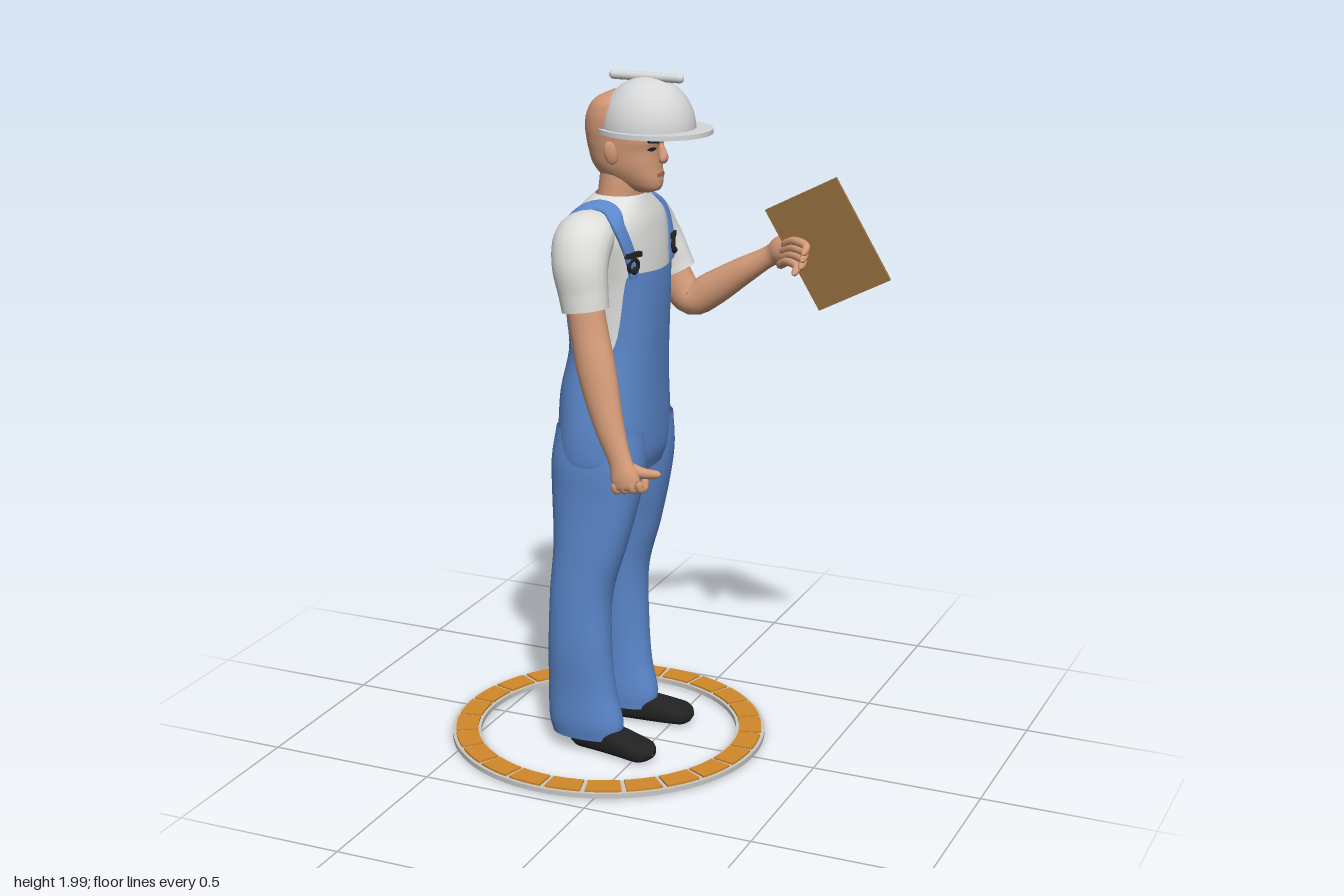
import * as THREE from 'three';
import { ParametricGeometry } from 'three/addons/geometries/ParametricGeometry.js';

const mat = (name, color, side = THREE.FrontSide) => {
  const m = new THREE.MeshStandardMaterial({ color, side });
  m.name = name;
  return m;
};
const V = (x, y, z) => new THREE.Vector3(x, y, z);

// Smooth interpolation of table rows; the first column is the ascending key.
function sample(rows, k) {
  let i = 0;
  while (i < rows.length - 2 && k > rows[i + 1][0]) i++;
  const slope = (j, c) => {
    const a = rows[Math.max(j - 1, 0)], b = rows[Math.min(j + 1, rows.length - 1)];
    return (b[c] - a[c]) / (b[0] - a[0]);
  };
  const h = rows[i + 1][0] - rows[i][0];
  const t = THREE.MathUtils.clamp((k - rows[i][0]) / h, 0, 1), t2 = t * t, t3 = t2 * t;
  return rows[i].map((p, c) => (2 * t3 - 3 * t2 + 1) * p + (t3 - 2 * t2 + t) * h * slope(i, c)
    + (3 * t2 - 2 * t3) * rows[i + 1][c] + (t3 - t2) * h * slope(i + 1, c));
}

const pow = (v, p) => Math.sign(v) * Math.abs(v) ** p;

// Upright form from rows [y, back x, front x, half width, centre z]; angle 0 is the front.
const upright = (rows, p = 0.85) => (angle, y, off = 0) => {
  const [, xb, xf, hz, cz = 0] = sample(rows, y);
  return V((xb + xf) / 2 + ((xf - xb) / 2 + off) * pow(Math.cos(angle), p), y,
    cz - (hz + off) * pow(Math.sin(angle), p));
};

// Piece of an upright form between two angles and two heights.
const patch = (form, a0, a1, y0, y1, off = 0, nu = 40, nv = 40) => {
  const f = (y, a) => (typeof y === 'function' ? y(a) : y);
  return new ParametricGeometry((u, v, out) => {
    const a = a0 + (a1 - a0) * u;
    out.copy(form(a, f(y0, a) + (f(y1, a) - f(y0, a)) * v, off));
  }, nu, nv);
};
const whole = (form, y0, y1, off = 0) => patch(form, -Math.PI, Math.PI, y0, y1, off);

// Limb through rows [x, y, z, radius along ref, other radius], with rounded ends.
function limb(rows, ref, cap = 0.08, p = 1, nu = 20, nv = 32) {
  const keyed = rows.map((r, i) => [i, ...r]), n = rows.length - 1;
  const at = t => { const s = sample(keyed, t * n); return V(s[1], s[2], s[3]); };
  return new ParametricGeometry((u, v, out) => {
    const s = sample(keyed, v * n);
    const T = at(Math.min(v + 0.01, 1)).sub(at(Math.max(v - 0.01, 0))).normalize();
    const U = ref.clone().addScaledVector(T, -ref.dot(T)).normalize();
    const W = T.clone().cross(U);
    const e = Math.min(v, 1 - v, cap) / cap;
    const f = Math.max(Math.sqrt(1 - (1 - e) ** 2), 0.04), a = u * Math.PI * 2;
    out.set(s[1], s[2], s[3]).addScaledVector(U, s[4] * f * pow(Math.cos(a), p))
      .addScaledVector(W, s[5] * f * pow(Math.sin(a), p));
  }, nu, nv);
}

export function createModel() {
  const model = new THREE.Group();
  const skin = mat('skin', 0xd39a78), lip = mat('lips', 0xa8694f), denim = mat('denim', 0x5b87cb, THREE.DoubleSide);
  const cotton = mat('white cotton', 0xdededc, THREE.DoubleSide), black = mat('black', 0x222222);
  const plastic = mat('helmet plastic', 0xd6d7d8), wood = mat('board brown', 0x9a7340);
  const paper = mat('paper', 0xbcbfc0), orange = mat('orange', 0xd2892a), grey = mat('ring grey', 0xc9c7c2);
  const add = (name, geo, material, parent = model) => {
    const mesh = new THREE.Mesh(geo, material);
    mesh.name = name;
    parent.add(mesh);
    return mesh;
  };
  const Z = V(0, 0, 1), X = V(1, 0, 0);

  // Floor ring with 24 tiles
  const ring = new THREE.Group();
  ring.name = 'floorRing';
  ring.position.x = -0.152;
  model.add(ring);
  const sector = (r0, r1, a0, a1, depth, y) => {
    const s = new THREE.Shape();
    s.absarc(0, 0, r1, a0, a1, false);
    if (a1 - a0 > 6) s.holes.push(new THREE.Path().absarc(0, 0, r0, 0, Math.PI * 2, true));
    else s.absarc(0, 0, r0, a1, a0, true);
    return new THREE.ExtrudeGeometry(s, { depth, bevelEnabled: false, curveSegments: a1 - a0 > 6 ? 96 : 6 })
      .rotateX(-Math.PI / 2).translate(0, y, 0);
  };
  add('ringBase', sector(0.382, 0.467, 0, Math.PI * 2, 0.014, 0.014), grey, ring);
  for (let i = 0; i < 24; i++) {
    const a = i * Math.PI / 12;
    add('ringTile', sector(0.391, 0.457, a + 0.016, a + Math.PI / 12 - 0.016, 0.006, 0.028), orange, ring);
  }

  // Torso: shirt underneath, overalls as a shell with a bib and a back panel
  const torso = upright([
    [0.87, -0.25, -0.01, 0.19], [0.92, -0.265, 0.005, 0.2], [1.0, -0.262, 0.008, 0.198], [1.1, -0.258, 0.008, 0.182],
    [1.22, -0.235, 0.012, 0.16], [1.3, -0.243, 0.016, 0.157], [1.42, -0.255, 0.018, 0.165], [1.5, -0.253, 0.012, 0.183],
    [1.56, -0.242, 0.002, 0.198], [1.6, -0.225, -0.008, 0.18], [1.64, -0.195, -0.025, 0.12], [1.662, -0.172, -0.035, 0.078]]);
  add('shirt', whole(torso, 1.1, 1.662), cotton);
  const topLine = [[0, 1.455], [0.85, 1.455], [0.97, 1.42], [1.15, 1.28], [1.4, 1.215], [1.9, 1.215], [2.35, 1.245],
    [2.65, 1.32], [2.85, 1.45], [3.0, 1.5], [3.15, 1.51]];
  add('overalls', patch(torso, -Math.PI, Math.PI, 0.87, a => sample(topLine, Math.abs(a))[1], 0.006, 120, 40), denim);

  // Mirrored parts: s = 1 is the model's +z side
  for (const s of [1, -1]) {
    // Trouser leg
    const leg = upright([
      [0.055, -0.27, -0.055, 0.056, s * 0.126], [0.1, -0.28, -0.05, 0.062, s * 0.128], [0.2, -0.28, -0.072, 0.063, s * 0.13],
      [0.34, -0.276, -0.085, 0.07, s * 0.134], [0.5, -0.27, -0.083, 0.074, s * 0.13], [0.65, -0.26, -0.042, 0.079, s * 0.123],
      [0.8, -0.268, -0.006, 0.092, s * 0.109], [0.9, -0.27, 0.008, 0.102, s * 0.102], [1.0, -0.255, 0.005, 0.095, s * 0.098]], 0.9);
    add('trouserLeg', whole(leg, 0.055, 1.0), denim);
    // Shoe
    add('shoe', limb([[-0.225, 0.05, s * 0.115, 0.038, 0.04], [-0.15, 0.055, s * 0.122, 0.042, 0.045],
      [-0.07, 0.049, s * 0.132, 0.046, 0.039], [0, 0.041, s * 0.144, 0.05, 0.031],
      [0.06, 0.034, s * 0.156, 0.044, 0.024]], Z, 0.16, 0.7), black);
    // Shoulder strap and buckle
    const strap = [[0.72, 1.44], [0.75, 1.52], [0.95, 1.6], [1.3, 1.635], [1.75, 1.64], [2.2, 1.615], [2.6, 1.56], [2.92, 1.46]]
      .map(([a, y]) => [...torso(-s * a, y, 0.005).toArray(), 0.024, 0.009]);
    add('strap', limb(strap, V(0, -0.5, s), 0.03, 0.7), denim);
    const buckle = new THREE.Group();
    buckle.name = 'buckle';
    buckle.position.copy(torso(-s * 0.73, 1.495, 0.015));
    buckle.rotation.y = -s * 0.35;
    model.add(buckle);
    add('buckleBar', new THREE.BoxGeometry(0.014, 0.014, 0.055), black, buckle).position.y = 0.022;
    add('buckleLoop', new THREE.TorusGeometry(0.018, 0.006, 8, 16).rotateY(Math.PI / 2), black, buckle).position.y = -0.008;
    add('buckleButton', new THREE.SphereGeometry(0.012, 12, 8), black, buckle).position.y = -0.022;
    // Hip button
    add('hipButton', new THREE.CylinderGeometry(0.011, 0.011, 0.012, 16).rotateX(Math.PI / 2), denim)
      .position.set(-0.105, 1.12, s * 0.184);
  }

  // Neck and head
  add('neck', limb([[-0.11, 1.6, 0, 0.085, 0.07], [-0.105, 1.65, 0, 0.073, 0.065], [-0.1, 1.7, 0, 0.067, 0.064],
    [-0.1, 1.76, 0, 0.06, 0.06]], Z), skin);
  const head = upright([[1.667, -0.07, -0.01, 0.018], [1.675, -0.095, 0.012, 0.036], [1.7, -0.145, 0.02, 0.057],
    [1.74, -0.182, 0.016, 0.076], [1.79, -0.197, 0.014, 0.085], [1.815, -0.202, 0.02, 0.088], [1.85, -0.205, 0.016, 0.09],
    [1.89, -0.197, 0, 0.086], [1.925, -0.172, -0.02, 0.07], [1.95, -0.12, -0.07, 0.02]], 0.92);
  add('head', whole(head, 1.667, 1.95), skin);
  add('nose', limb([[0.012, 1.808, 0, 0.008, 0.008], [0.019, 1.785, 0, 0.011, 0.012], [0.024, 1.764, 0, 0.017, 0.013],
    [0.014, 1.752, 0, 0.012, 0.008]], Z, 0.2), skin);
  add('mouth', patch(head, -0.33, 0.33, 1.714, a => 1.726 - 0.03 * a * a, 0.002, 12, 4), lip);
  for (const s of [1, -1]) {
    const lo = s > 0 ? -0.62 : 0.24, hi = lo + 0.38, mid = lo + 0.19;
    const almond = k => a => 1.794 + k * 0.006 * Math.cos((a - mid) * 8);
    add('eye', patch(head, lo, hi, almond(-1), almond(1), 0.002, 10, 4), black);
    add('eyebrow', patch(head, lo - 0.04, hi + 0.04, a => 1.806 + 0.012 * Math.abs(a),
      a => 1.812 + 0.014 * Math.abs(a), 0.003, 10, 4), black);
    const ear = add('ear', new THREE.SphereGeometry(1, 16, 12).scale(0.019, 0.034, 0.01), skin);
    ear.position.set(-0.095, 1.785, s * 0.09);
    ear.rotation.set(s * 0.12, s * 0.35, 0.15);
  }

  // Helmet
  const helmet = new THREE.Group();
  helmet.name = 'helmet';
  model.add(helmet);
  add('dome', new THREE.SphereGeometry(1, 40, 20, 0, Math.PI * 2, 0, Math.PI / 2).scale(0.135, 0.143, 0.124), plastic, helmet)
    .position.set(-0.022, 1.845, 0);
  add('brim', new THREE.CylinderGeometry(1, 1, 0.013, 48).scale(0.164, 1, 0.146), plastic, helmet).position.set(-0.002, 1.843, 0);
  add('ridge', new THREE.CapsuleGeometry(0.013, 0.196, 6, 14).rotateZ(Math.PI / 2), plastic, helmet).position.set(-0.027, 1.987, 0);

  // Right arm, hanging
  add('rightSleeve', limb([[-0.125, 1.585, 0.11, 0.075, 0.05], [-0.13, 1.562, 0.19, 0.085, 0.07], [-0.122, 1.5, 0.235, 0.08, 0.066],
    [-0.108, 1.42, 0.245, 0.071, 0.059], [-0.1, 1.372, 0.248, 0.067, 0.058]], X, 0.03), cotton);
  add('rightArm', limb([[-0.11, 1.43, 0.245, 0.045, 0.052], [-0.085, 1.32, 0.258, 0.046, 0.054], [-0.052, 1.21, 0.28, 0.043, 0.056],
    [-0.008, 1.08, 0.304, 0.035, 0.044], [0.035, 0.985, 0.324, 0.024, 0.034], [0.052, 0.94, 0.33, 0.026, 0.042],
    [0.06, 0.9, 0.333, 0.02, 0.042]], Z, 0.07), skin);
  add('rightThumb', limb([[0.055, 0.965, 0.32, 0.016, 0.02], [0.1, 0.953, 0.312, 0.014, 0.015], [0.15, 0.954, 0.308, 0.01, 0.01]], Z, 0.15), skin);
  for (let i = 0; i < 4; i++) {
    const x = 0.026 + i * 0.024, y = 0.917 + i * 0.004;
    add('rightFinger', limb([[x, y + 0.012, 0.343, 0.012, 0.012], [x + 0.004, y - 0.014, 0.338, 0.012, 0.012],
      [x + 0.006, y - 0.012, 0.316, 0.012, 0.012], [x + 0.006, y + 0.012, 0.31, 0.01, 0.01]], X, 0.15, 1, 12, 16), skin);
  }

  // Left arm, bent forward
  add('leftSleeve', limb([[-0.125, 1.585, -0.11, 0.075, 0.05], [-0.13, 1.562, -0.19, 0.085, 0.07], [-0.112, 1.5, -0.242, 0.08, 0.063],
    [-0.075, 1.42, -0.26, 0.072, 0.053], [-0.05, 1.37, -0.264, 0.066, 0.05]], X, 0.03), cotton);
  add('leftArm', limb([[-0.085, 1.45, -0.26, 0.042, 0.05], [-0.045, 1.35, -0.266, 0.044, 0.052], [0.002, 1.302, -0.266, 0.044, 0.05],
    [0.07, 1.34, -0.264, 0.042, 0.05], [0.16, 1.4, -0.26, 0.036, 0.04], [0.245, 1.453, -0.255, 0.026, 0.03],
    [0.285, 1.475, -0.245, 0.03, 0.042], [0.325, 1.49, -0.235, 0.024, 0.04]], Z, 0.07), skin);
  add('leftThumb', limb([[0.27, 1.485, -0.265, 0.018, 0.02], [0.325, 1.52, -0.258, 0.014, 0.016], [0.38, 1.54, -0.25, 0.011, 0.011]], Z, 0.15), skin);
  for (let i = 0; i < 4; i++) {
    const y = 1.51 - i * 0.02, x = 0.295 - i * 0.004, d = i === 3 ? 0.85 : 1;
    add('leftFinger', limb([[x, y - 0.015, -0.225, 0.014, 0.014], [x + 0.05 * d, y + 0.01, -0.185, 0.013, 0.013],
      [x + 0.095 * d, y + 0.006, -0.155, 0.012, 0.012], [x + 0.1 * d, y - 0.012, -0.118, 0.009, 0.009]],
    V(0, 1, 0), 0.12, 1, 12, 20), skin);
  }

  // Clipboard with a sheet on the side facing the figure
  const board = new THREE.Group();
  board.name = 'clipboard';
  const ex = V(0.21, 0.11, 0.005).normalize(), ez = ex.clone().cross(V(-0.165, 0.28, 0.045)).normalize();
  board.quaternion.setFromRotationMatrix(new THREE.Matrix4().makeBasis(ex, ez.clone().cross(ex), ez));
  board.position.set(0.428, 1.508, -0.231);
  model.add(board);
  add('boardPanel', new THREE.BoxGeometry(0.237, 0.328, 0.011), wood, board);
  add('sheet', new THREE.BoxGeometry(0.207, 0.295, 0.004), paper, board).position.z = -0.007;

  return model;
}
